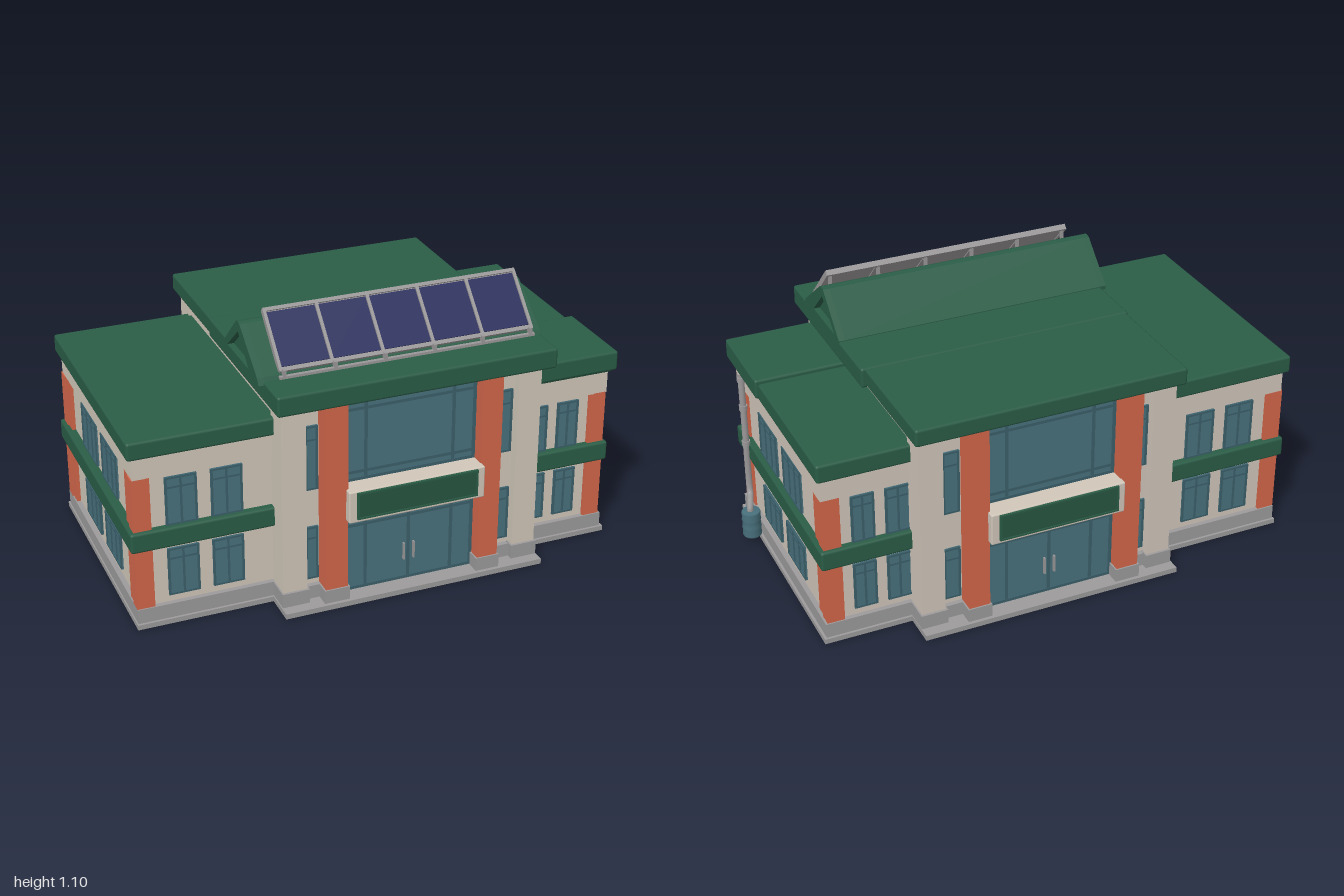
import * as THREE from 'three';
import { RoundedBoxGeometry } from 'three/addons/geometries/RoundedBoxGeometry.js';

const mat = (name, color) => Object.assign(new THREE.MeshStandardMaterial({ color }), { name });

export function createModel() {
  const model = new THREE.Group();
  model.name = 'building';
  const cream = mat('cream plaster', 0xd0c6b9);
  const orange = mat('orange brick', 0xd2664a);
  const green = mat('green roof', 0x2a5c46);
  const signGreen = mat('sign green', 0x275540);
  const stone = mat('grey stone', 0x9c9a9a);
  const glass = mat('teal glass', 0x48707c);
  const frame = mat('teal frame', 0x3b606b);
  const navy = mat('solar navy', 0x292d5c);
  const metal = mat('grey metal', 0x9a9798);

  const add = (name, geometry, material, parent = model) => {
    const mesh = new THREE.Mesh(geometry, material);
    mesh.name = name;
    parent.add(mesh);
    return mesh;
  };
  // Box given by its limits; r > 0 rounds the edges
  const box = (name, m, x0, x1, y0, y1, z0, z1, r = 0, parent = model) => {
    const d = [Math.abs(x1 - x0), y1 - y0, Math.abs(z1 - z0)];
    const g = r ? new RoundedBoxGeometry(...d, 2, r) : new THREE.BoxGeometry(...d);
    const mesh = add(name, g, m, parent);
    mesh.position.set((x0 + x1) / 2, (y0 + y1) / 2, (z0 + z1) / 2);
    return mesh;
  };
  // Window facing +z before turning, with mullions (x) and transoms (y) given as fractions
  const windowUnit = (name, x, y, z, w, h, turn, mullions = [0.5], transoms = [0.78], t = 0.008) => {
    const g = new THREE.Group();
    g.name = name;
    g.position.set(x, y, z);
    g.rotation.y = turn;
    model.add(g);
    box('glass', glass, -w / 2, w / 2, -h / 2, h / 2, -0.004, 0.004, 0, g);
    for (const s of [-1, 1]) {
      box('frameSide', frame, s * w / 2, s * (w / 2 - t), -h / 2, h / 2, 0, 0.009, 0, g);
      const yc = s * (h / 2 - t / 2);
      box('frameRail', frame, -w / 2, w / 2, yc - t / 2, yc + t / 2, 0, 0.009, 0, g);
    }
    for (const f of mullions) box('mullion', frame, (f - 0.5) * w - t / 2, (f - 0.5) * w + t / 2, -h / 2, h / 2, 0, 0.008, 0, g);
    for (const f of transoms) box('transom', frame, -w / 2, w / 2, (f - 0.5) * h - t / 2, (f - 0.5) * h + t / 2, 0, 0.007, 0, g);
  };

  // Ground slabs and plinths
  box('wingSlab', stone, -0.99, 0.93, 0, 0.02, -0.495, 0.495);
  box('centreSlab', stone, -0.465, 0.585, 0, 0.021, -0.63, 0.63);
  box('wingPlinth', stone, -0.985, 0.92, 0.02, 0.078, -0.485, 0.485);

  // Main walls
  box('wingWalls', cream, -0.965, 0.9, 0.078, 0.71, -0.465, 0.465);
  box('wingCornice', cream, -0.98, 0.915, 0.61, 0.705, -0.48, 0.48);
  box('centreWalls', cream, -0.445, 0.565, 0.02, 0.84, -0.54, 0.54);

  // Wing bands, corner piers and side windows
  for (const [xi, xo, s] of [[-0.43, -1, -1], [0.55, 0.927, 1]]) {
    box('greenBand', green, xi, xo, 0.32, 0.4, -0.495, 0.495, 0.01);
    const face = xo - s * 0.015;
    for (const sz of [-1, 1]) {
      box('cornerPier', orange, face, face - s * 0.068, 0.078, 0.612, sz * 0.48, sz * 0.43);
      box('sidePier', orange, face - s * 0.005, face - s * 0.05, 0.078, 0.612, sz * 0.43, sz * 0.38);
      for (const [y, h] of [[0.185, 0.15], [0.5, 0.18]])
        windowUnit('sideWindow', s < 0 ? -0.966 : 0.901, y, sz * 0.137 + 0.003, 0.2, h, s * Math.PI / 2, [0.36, 0.68], [0.82]);
    }
  }

  // Front and back faces share one layout
  for (const s of [1, -1]) {
    const turn = s > 0 ? 0 : Math.PI;
    for (const [x, w] of [[-0.8, 0.12], [-0.628, 0.12], [0.618, 0.1], [0.755, 0.09]])
      for (const y of [0.205, 0.497]) windowUnit('wingWindow', x, y, s * 0.466, w, 0.195, turn);

    // Pale corner pilasters and orange columns with stone feet
    for (const [x0, x1] of [[-0.455, -0.36], [0.483, 0.577]]) {
      box('pilaster', cream, x0, x1, 0.07, 0.835, s * 0.575, s * 0.47);
      box('pilasterFoot', stone, x0 - 0.006, x1 + 0.006, 0.02, 0.078, s * 0.585, s * 0.465);
    }
    for (const [x0, x1] of [[-0.3, -0.212], [0.318, 0.402]]) {
      box('column', orange, x0, x1, 0.03, 0.835, s * 0.61, s * 0.52);
      box('columnFoot', stone, x0 - 0.006, x1 + 0.006, 0.02, 0.075, s * 0.616, s * 0.52);
    }
    for (const [x0, x1] of [[-0.36, -0.3], [0.402, 0.483]])
      box('recessPlinth', stone, x0, x1, 0.02, 0.075, s * 0.56, s * 0.53);
    for (const [x, w] of [[-0.33, 0.05], [0.442, 0.066]])
      for (const [y, h] of [[0.21, 0.22], [0.605, 0.26]]) windowUnit('slitWindow', x, y, s * 0.541, w, h, turn, [], [0.78]);

    // Glazed entrance and upper curtain wall
    windowUnit('curtainWall', 0.053, 0.66, s * 0.552, 0.53, 0.35, turn, [0.17, 0.83], [0.1, 0.83], 0.012);
    windowUnit('entrance', 0.053, 0.185, s * 0.552, 0.53, 0.325, turn, [0.17, 0.5, 0.83], [0.84], 0.012);
    for (const dx of [-0.02, 0.02])
      box('doorHandle', metal, 0.053 + dx - 0.003, 0.053 + dx + 0.003, 0.11, 0.18, s * 0.558, s * 0.57);

    // Canopy with blank sign
    box('canopy', cream, -0.22, 0.325, 0.355, 0.485, s * 0.64, s * 0.53, 0.006);
    box('signPanel', signGreen, -0.185, 0.288, 0.375, 0.473, s * 0.645, s * 0.638);
    for (const y of [0.371, 0.473]) box('signTrim', green, -0.19, 0.293, y, y + 0.007, s * 0.649, s * 0.636);
    for (const x of [-0.19, 0.286]) box('signTrim', green, x, x + 0.007, 0.371, 0.48, s * 0.649, s * 0.636);
    box('entranceLamp', cream, -0.03, 0.125, 0.327, 0.34, s * 0.58, s * 0.55);
  }

  // Flat roofs
  box('leftWingRoof', green, -1, -0.4, 0.697, 0.768, -0.5, 0.5, 0.01);
  box('rightWingRoof', green, 0.5, 0.93, 0.697, 0.77, -0.5, 0.49, 0.01);
  box('rightWingRoofFront', green, 0.55, 0.943, 0.708, 0.787, 0.135, 0.503, 0.01);
  box('centreRoof', green, -0.475, 0.602, 0.828, 0.897, -0.617, 0.6, 0.01);
  box('centreRoofFront', green, -0.48, 0.62, 0.822, 0.902, -0.14, 0.613, 0.01);

  // Gable ridge: solid prism with raised rims at both ends
  const profile = (pts, Type) => new Type(pts.map(([z, y]) => new THREE.Vector2(-z, y)));
  const outer = [[0.475, 0.89], [0.46, 0.915], [0.28, 1.05], [0.265, 1.055], [0.245, 1.05], [0.09, 0.905], [0.09, 0.89]];
  const gablePiece = (name, shape, x0, x1, m) => {
    const g = new THREE.ExtrudeGeometry(shape, { depth: x1 - x0, bevelEnabled: false });
    g.rotateY(Math.PI / 2).translate(x0, 0, 0);
    add(name, g, m);
  };
  gablePiece('gableRoof', profile(outer, THREE.Shape), -0.475, 0.595, green);
  for (const [x0, x1] of [[-0.5, -0.475], [0.595, 0.62]]) {
    const rim = profile(outer, THREE.Shape);
    rim.holes.push(profile([[0.37, 0.912], [0.14, 0.912], [0.262, 1.015]], THREE.Path));
    gablePiece('gableRim', rim, x0, x1, green);
  }

  // Tilted solar array on a rail frame
  const array = new THREE.Group();
  array.name = 'solarArray';
  array.position.set(0.087, 1.01, 0.372);
  array.rotation.x = -Math.PI / 4;
  model.add(array);
  const pitch = 0.199;
  box('panelBacking', metal, -0.495, 0.495, -0.114, 0.114, -0.008, 0.002, 0, array);
  for (let i = 0; i < 5; i++) {
    const x = (i - 2) * pitch;
    box('solarPanel', navy, x - 0.092, x + 0.092, -0.106, 0.106, 0, 0.006, 0, array);
  }
  for (let i = 0; i <= 5; i++) {
    const x = (i - 2.5) * pitch;
    box('panelRail', metal, x - 0.006, x + 0.006, -0.12, 0.12, -0.012, 0.01, 0, array);
    const wx = 0.087 + x * 0.98;
    box('rearLeg', metal, wx - 0.006, wx + 0.006, 1.02, 1.088, 0.284, 0.296);
    box('frontLeg', metal, wx - 0.006, wx + 0.006, 0.895, 0.935, 0.448, 0.478);
  }
  for (const y of [-0.117, 0.117]) box('arrayEdge', metal, -0.502, 0.502, y - 0.007, y + 0.007, -0.012, 0.01, 0, array);
  box('arrayFoot', metal, -0.42, 0.592, 0.9, 0.912, 0.463, 0.478);

  // Rainwater pipe and barrel
  const path = [[0.935, 0.71, 0.35], [0.935, 0.45, 0.348], [0.935, 0.2, 0.348], [0.938, 0.17, 0.335],
    [0.95, 0.158, 0.3], [0.958, 0.148, 0.278], [0.96, 0.12, 0.275]].map(p => new THREE.Vector3(...p));
  add('downpipe', new THREE.TubeGeometry(new THREE.CatmullRomCurve3(path), 48, 0.013, 12), metal);
  for (const y of [0.4, 0.56, 0.685])
    add('pipeCollar', new THREE.CylinderGeometry(0.017, 0.017, 0.02, 12), metal).position.set(0.935, y, 0.348);
  const barrel = [[0, 0], [0.035, 0], [0.038, 0.006], [0.036, 0.035], [0.039, 0.04], [0.036, 0.045],
    [0.036, 0.07], [0.039, 0.075], [0.036, 0.08], [0.038, 0.106], [0.035, 0.112], [0, 0.112]];
  add('rainBarrel', new THREE.LatheGeometry(barrel.map(p => new THREE.Vector2(...p)), 20), glass).position.set(0.958, 0.02, 0.275);
  box('barrelTap', metal, 0.952, 0.964, 0.035, 0.047, 0.31, 0.332);

  return model;
}
